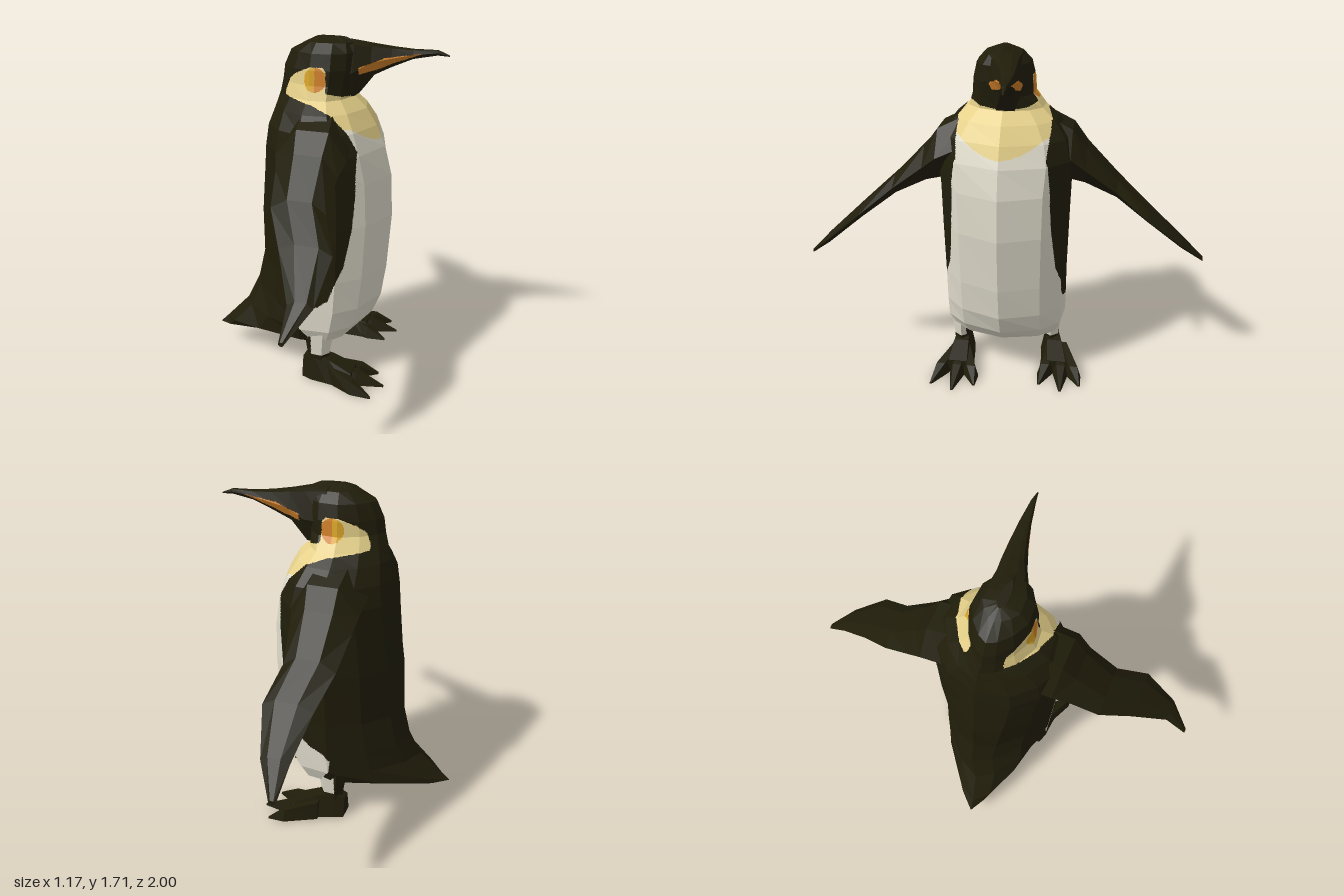
import * as THREE from 'three';

const mat = (name, color) => {
  const m = new THREE.MeshStandardMaterial({ color, flatShading: true });
  m.name = name;
  return m;
};
const [BLACK, WHITE, YELLOW, GOLD, ORANGE] = [0, 1, 2, 3, 4];
const V = (x, y, z) => new THREE.Vector3(x, y, z);

// Piecewise linear lookup in [[input, output], ...]
function lerpTable(table, t) {
  if (t <= table[0][0]) return table[0][1];
  for (let i = 1; i < table.length; i++) {
    const [a, va] = table[i - 1], [b, vb] = table[i];
    if (t <= b) return va + (vb - va) * (t - a) / (b - a);
  }
  return table[table.length - 1][1];
}

// Triangles of a closed skin over equal-sized rings, wound to face outwards
function loft(rings) {
  const tris = [], n = rings[0].length;
  for (let r = 0; r < rings.length - 1; r++) {
    for (let i = 0; i < n; i++) {
      const j = (i + 1) % n, a = rings[r], b = rings[r + 1];
      tris.push([a[i], a[j], b[j]], [a[i], b[j], b[i]]);
    }
  }
  const cap = (ring, flip) => {
    const c = ring.reduce((s, p) => s.add(p), V(0, 0, 0)).divideScalar(n);
    for (let i = 0; i < n; i++) {
      const j = (i + 1) % n;
      tris.push(flip ? [c, ring[j], ring[i]] : [c, ring[i], ring[j]]);
    }
  };
  cap(rings[0], true);
  cap(rings[rings.length - 1], false);
  const volume = tris.reduce((s, [a, b, c]) => s + a.dot(b.clone().cross(c)), 0);
  return volume < 0 ? tris.map(([a, b, c]) => [a, c, b]) : tris;
}

// Colours each triangle by a rule, halving those that straddle a colour edge
function paintedMesh(name, tris, materials, rule) {
  const buckets = materials.map(() => []);
  const paint = (a, b, c) => {
    const mid = a.clone().add(b).add(c).divideScalar(3);
    const colour = rule ? rule(mid.x, mid.y, mid.z) : BLACK;
    if (rule) {
      const ab = a.clone().lerp(b, 0.5), bc = b.clone().lerp(c, 0.5), ca = c.clone().lerp(a, 0.5);
      const mixed = [a, b, c, ab, bc, ca].some((p) => rule(p.x, p.y, p.z) !== colour);
      const l = [a.distanceTo(b), b.distanceTo(c), c.distanceTo(a)], long = Math.max(...l);
      if (long > (mixed ? 0.008 : 0.08)) {
        if (l[0] === long) { paint(a, ab, c); paint(ab, b, c); }
        else if (l[1] === long) { paint(b, bc, a); paint(bc, c, a); }
        else { paint(c, ca, b); paint(ca, a, b); }
        return;
      }
    }
    for (const v of [a, b, c]) buckets[colour].push(v.x, v.y, v.z);
  };
  tris.forEach((t) => paint(...t));
  const geo = new THREE.BufferGeometry();
  geo.setAttribute('position', new THREE.Float32BufferAttribute(buckets.flat(), 3));
  let start = 0;
  buckets.forEach((b, i) => {
    if (b.length) geo.addGroup(start, b.length / 3, i);
    start += b.length / 3;
  });
  geo.computeVertexNormals();
  const mesh = new THREE.Mesh(geo, materials);
  mesh.name = name;
  return mesh;
}

// Plumage: dark back, pale belly, yellow throat and cheek, orange ear spot
const FLANK = [[0.15, 0], [0.24, 0.01], [0.3, -0.03], [0.36, -0.035], [0.4, 0], [0.43, 0.07],
  [0.47, 0.12], [0.55, 0.15], [0.65, 0.19], [0.85, 0.225], [1, 0.235], [1.22, 0.235], [1.3, 0.19],
  [1.385, 0.1], [1.42, 0], [1.44, -0.165]];
const CHEEK = [[-0.165, 1.46], [-0.14, 1.52], [-0.1, 1.55], [-0.02, 1.585], [0.04, 1.585],
  [0.056, 1.57], [0.06, 1.47], [0.15, 1.44]];
function plumage(x, y, z) {
  if (x < lerpTable(FLANK, y) || y > lerpTable(CHEEK, x)) return BLACK;
  if (Math.hypot(x - 0.006, y - 1.528) < 0.056) return x < 0.005 ? GOLD : ORANGE;
  return y > 1.24 + 0.08 * Math.min(1, (z / 0.2) ** 2) ? YELLOW : WHITE;
}

// Body and head rings: height, front x, back x, half width
const BODY = [
  [0.185, 0.13, -0.59, 0.2], [0.215, 0.2, -0.545, 0.28], [0.29, 0.265, -0.43, 0.31],
  [0.4, 0.31, -0.38, 0.31], [0.57, 0.335, -0.34, 0.31], [0.85, 0.355, -0.328, 0.315],
  [1.06, 0.345, -0.3, 0.32], [1.2, 0.31, -0.285, 0.335], [1.3, 0.265, -0.272, 0.31],
  [1.38, 0.215, -0.25, 0.25], [1.435, 0.155, -0.23, 0.185], [1.5, 0.165, -0.21, 0.15],
  [1.57, 0.18, -0.2, 0.145], [1.645, 0.18, -0.165, 0.127], [1.69, 0.165, -0.08, 0.085],
  [1.713, 0.11, -0.03, 0.02],
];
const HALF = [[1, 0], [0.77, 0.64], [0.43, 0.95], [-0.1, 1], [-0.55, 0.72], [-0.87, 0.33], [-1, 0]];
const OUTLINE = [...HALF, ...HALF.slice(1, -1).reverse().map(([u, w]) => [u, -w])];
function bodyRing([y, front, back, w]) {
  const mid = y < 1.35 ? 0.02 : 0;
  const headShift = y > 1.45 ? 0.013 : 0;
  const low = THREE.MathUtils.clamp((0.4 - y) / 0.2, 0, 1);
  const full = lerpTable([[0.5, 0], [1, 0.35], [1.3, 0.35], [1.45, 0]], y); // broad upper back
  return OUTLINE.map(([u, s]) => {
    const tail = u < 0 ? low * u * u : 0; // tail droops and swings to one side
    const x = mid + (u > 0 ? (front - mid) * u : (mid - back) * u);
    const out = Math.sign(s) * Math.abs(s) ** (u < 0 ? 1 - full : 1);
    return V(x, y - 0.075 * tail * low * low, out * w + 0.08 * tail + headShift);
  });
}

// Beak sections: x, top, bottom, half width, z
const BEAK = [
  [0.05, 1.705, 1.43, 0.11, 0], [0.16, 1.692, 1.44, 0.085, -0.012], [0.235, 1.68, 1.535, 0.062, -0.032],
  [0.325, 1.668, 1.578, 0.045, -0.048], [0.42, 1.66, 1.617, 0.028, -0.06],
  [0.53, 1.66, 1.636, 0.012, -0.068], [0.585, 1.638, 1.632, 0.003, -0.07],
];
const beakRing = ([x, t, b, w, z]) => [[1, 0.35], [0.95, 0.7], [0.45, 1], [0, 0.5], [0, -0.5],
  [0.45, -1], [0.95, -0.7], [1, -0.35]].map(([v, s]) => V(x, b + (t - b) * v, z + s * w));
function beakPaint(x, y) {
  const top = lerpTable([[0.185, 1.578], [0.3, 1.622], [0.46, 1.642]], x);
  const low = lerpTable([[0.185, 1.545], [0.26, 1.565], [0.33, 1.595], [0.46, 1.64]], x);
  return x > 0.185 && x < 0.46 && y < top && y > low ? ORANGE : BLACK;
}

// Wing sections: distance out, top, bottom, then back and front x for each side
const WING = [
  [0.15, 1.41, 1.15, -0.16, 0.19, -0.2, 0.13], [0.32, 1.33, 1.08, -0.13, 0.22, -0.19, 0.14],
  [0.39, 1.235, 1.06, -0.1, 0.2, -0.18, 0.12], [0.545, 1.075, 0.985, -0.06, 0.2, -0.16, 0.09],
  [0.7, 0.94, 0.88, 0.04, 0.285, -0.115, 0.125], [0.88, 0.775, 0.73, 0.15, 0.265, -0.075, 0.06],
  [1, 0.65, 0.632, 0.16, 0.185, -0.06, -0.025],
];
function wingRing([d, t, b, lb, lf, rb, rf], side) {
  const [back, front] = side > 0 ? [lb, lf] : [rb, rf];
  return [[0, 0.5], [0.3, 1], [0.75, 1], [1, 0.5], [0.75, 0], [0.3, 0]]
    .map(([u, v]) => V(back + (front - back) * u, b + (t - b) * v, side * d));
}

// Foot section: trapezoid standing on the ground
const footRing = (x, z, w, h) => [V(x, 0, z - w), V(x, h, z - w * 0.55), V(x, h, z + w * 0.55), V(x, 0, z + w)];

export function createModel() {
  const model = new THREE.Group();
  model.name = 'bird';
  const materials = [mat('dark plumage', 0x201d0a), mat('pale belly', 0xdfdbcb),
    mat('yellow throat', 0xe6d18a), mat('gold ear', 0xdaa52a), mat('orange', 0xd0802a)];
  const add = (name, rings, rule, parent = model) =>
    parent.add(paintedMesh(name, loft(rings), materials, rule));

  add('bodyAndHead', BODY.map(bodyRing), plumage);
  add('beak', BEAK.map(beakRing), beakPaint);

  for (const side of [1, -1]) {
    const word = side > 0 ? 'left' : 'right';
    add(word + 'Wing', WING.map((s) => wingRing(s, side)));

    // Leg with pale feathers on the outside above the dark ankle
    const x0 = side > 0 ? 0 : -0.075;
    const foot = new THREE.Group();
    foot.name = word + 'Foot';
    model.add(foot);
    const legRing = (y, r, z) => Array.from({ length: 6 }, (_, i) => {
      const a = i * Math.PI / 3;
      return V(x0 + 0.05 + r * 1.35 * Math.cos(a), y, side * z + r * Math.sin(a));
    });
    add('leg', [legRing(0.05, 0.045, 0.24), legRing(0.14, 0.045, 0.24), legRing(0.3, 0.065, 0.235)],
      (x, y, z) => (y > 0.14 && x > x0 + 0.025 && Math.abs(z) > 0.215 ? WHITE : BLACK), foot);

    // Sole and three pointed toes
    const zc = side > 0 ? 0.235 : -0.285;
    add('sole', [footRing(x0 - 0.025, side * 0.235, 0.045, 0.11), footRing(x0 + 0.03, side * 0.24, 0.06, 0.14),
      footRing(x0 + 0.12, (zc + side * 0.24) / 2, 0.07, 0.12), footRing(x0 + 0.24, zc, 0.09, 0.07)],
    undefined, foot);
    const tips = side > 0 ? [[0.345, 0.13], [0.4, 0.235], [0.365, 0.355]]
      : [[0.27, -0.415], [0.325, -0.32], [0.285, -0.205]];
    for (const [tx, tz] of tips) {
      const mid = zc + (tz - zc) * 0.72;
      add('toe', [footRing(x0 + 0.1, zc + (tz - zc) * 0.2, 0.03, 0.1),
        footRing(x0 + 0.26, mid, 0.04, 0.06), footRing(tx, tz, 0.006, 0.008)], undefined, foot);
    }
  }
  return model;
}
